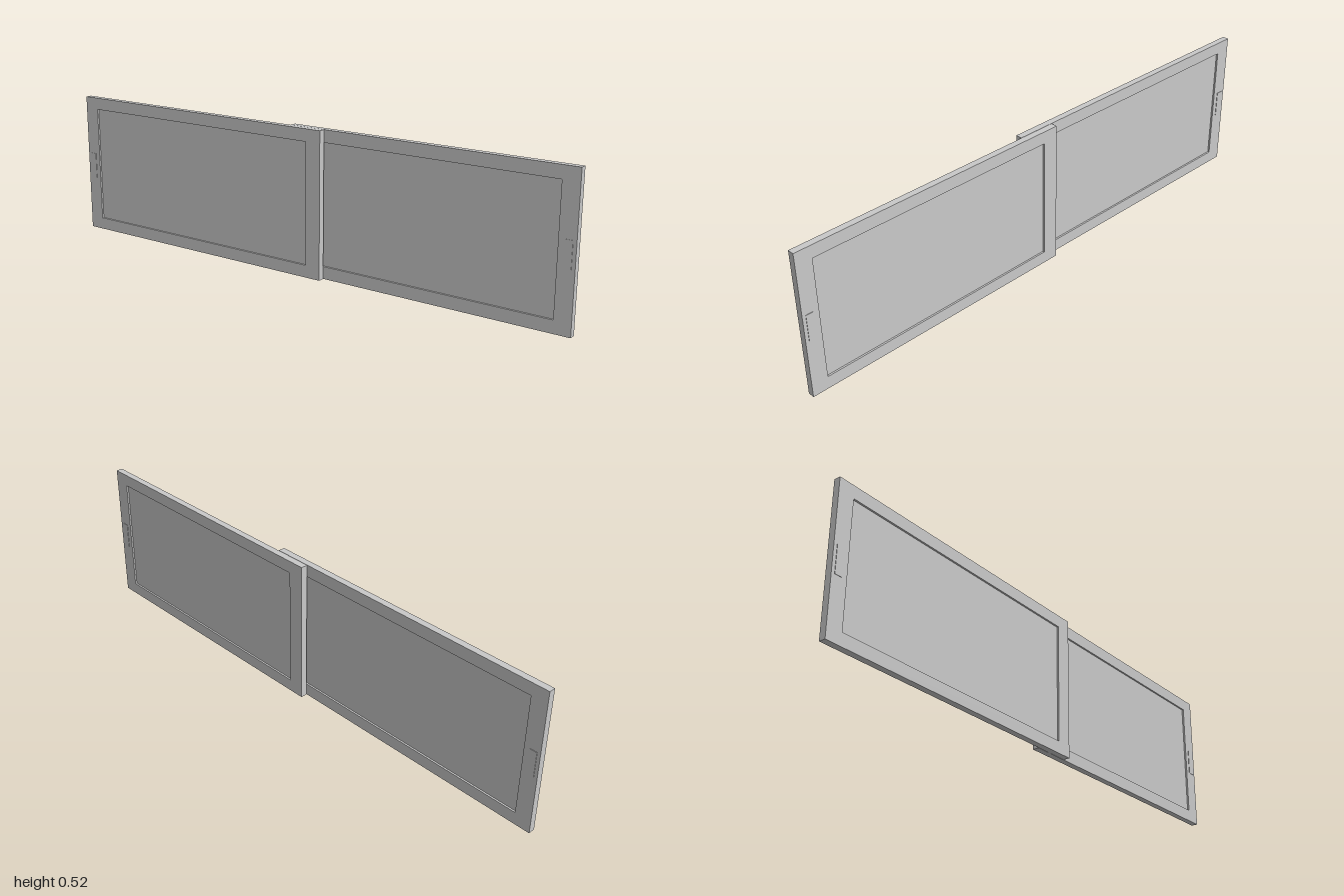
import * as THREE from 'three';

const HEIGHT = 0.519, THICK = 0.0236;

const grey = new THREE.MeshStandardMaterial({ color: 0xc8c8c8 });
grey.name = 'lightGrey';

function rect(Type, x0, y0, x1, y1) {
  const r = new Type();
  r.moveTo(x0, y0);
  r.lineTo(x1, y0);
  r.lineTo(x1, y1);
  r.lineTo(x0, y1);
  r.closePath();
  return r;
}

function add(group, name, geometry) {
  const mesh = new THREE.Mesh(geometry, grey);
  mesh.name = name;
  group.add(mesh);
  return mesh;
}

// One sliding panel; its outer end is at x = 0, it lies centred on z = 0
function slidingPanel(name, width) {
  const panel = new THREE.Group();
  panel.name = name;
  const side = 0.058, rail = 0.044;

  // Frame with the pane opening
  const outline = rect(THREE.Shape, 0, 0, width, HEIGHT);
  outline.holes.push(rect(THREE.Path, side, rail, width - side, HEIGHT - rail));
  const frame = new THREE.ExtrudeGeometry(outline, { depth: THICK, bevelEnabled: false });
  frame.translate(0, 0, -THICK / 2);
  add(panel, 'frame', frame);

  // Pane, recessed equally on both faces
  const pane = add(panel, 'pane',
    new THREE.BoxGeometry(width - 2 * side, HEIGHT - 2 * rail, THICK - 0.013));
  pane.position.set(width / 2, HEIGHT / 2, 0);

  // Pull plate, slightly proud of both faces near the outer end
  const pull = add(panel, 'pullPlate', new THREE.BoxGeometry(0.027, 0.095, THICK + 0.003));
  pull.position.set(0.0255, 0.2525, 0);
  return panel;
}

export function createModel() {
  const model = new THREE.Group();
  model.name = 'slidingPanels';

  const front = slidingPanel('frontPanel', 1.104);
  front.position.set(-1, 0, 0.0124);

  // The rear panel is the same design turned around
  const rear = slidingPanel('rearPanel', 1.034);
  rear.rotation.y = Math.PI;
  rear.position.set(1, 0, -0.0124);

  model.add(front, rear);
  return model;
}
